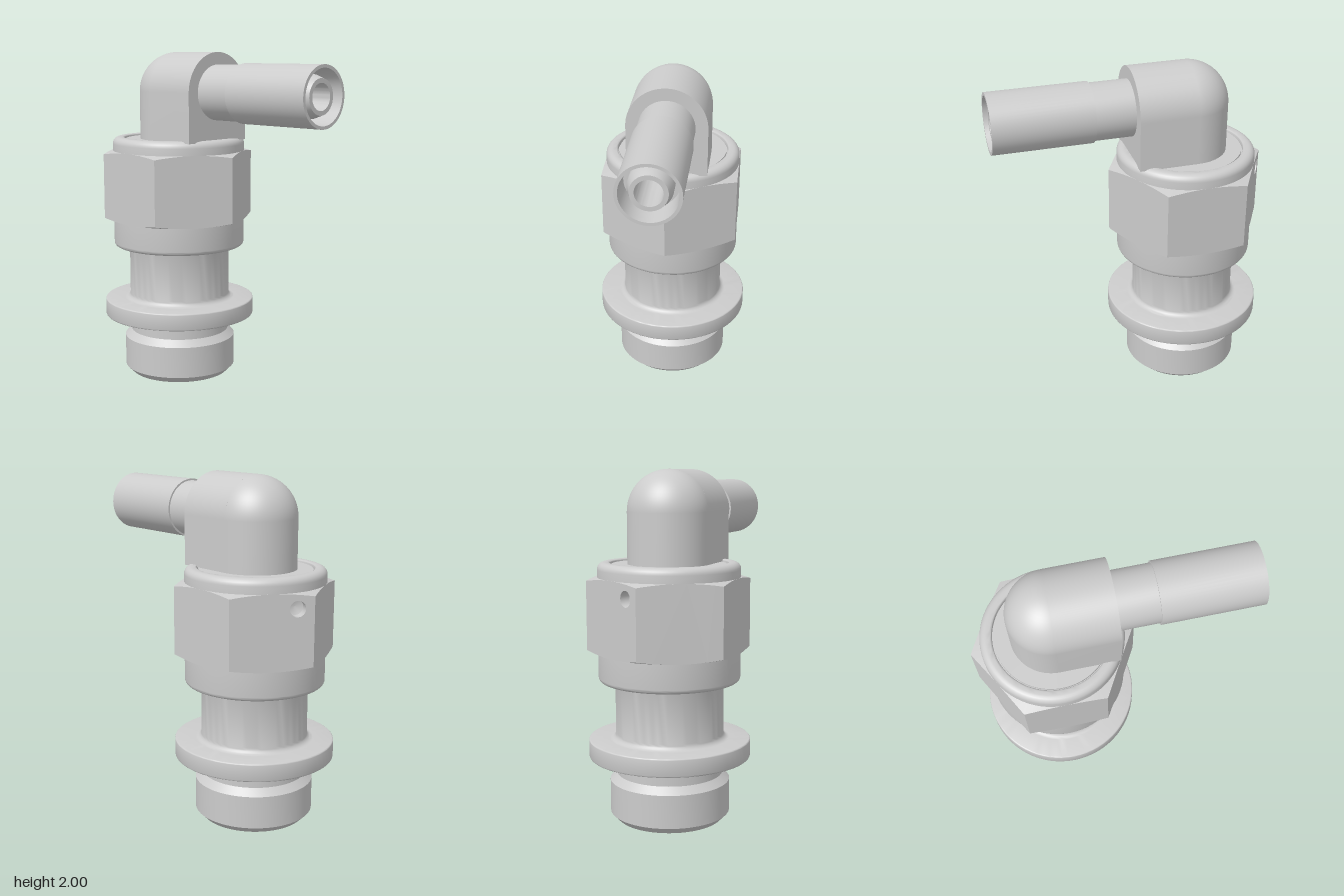
import * as THREE from 'three';
import { toCreasedNormals } from 'three/addons/utils/BufferGeometryUtils.js';

const AXIS = -0.345;   // x of the vertical axis
const ARM_Y = 1.765;   // height of the horizontal axis
const ELBOW_R = 0.235;
const FLAT = 0.405;    // hexagon centre to flat
const HALF = 0.215;    // half height of the hexagon

export function createModel() {
  const model = new THREE.Group();
  const material = new THREE.MeshStandardMaterial({ color: 0xcccccc });

  const add = (name, geometry, parent = model) => {
    const mesh = new THREE.Mesh(geometry, material);
    mesh.name = name;
    parent.add(mesh);
    return mesh;
  };
  const lathe = (points, segments = 72) => toCreasedNormals(
    new THREE.LatheGeometry(points.map(([r, y]) => new THREE.Vector2(r, y)), segments), 0.6);
  // quarter-round profile points about (cx, cy), angles in degrees
  const arc = (cx, cy, r, from, to, n = 6) => Array.from({ length: n + 1 }, (_, i) => {
    const a = THREE.MathUtils.degToRad(from + (to - from) * i / n);
    return [cx + r * Math.cos(a), cy + r * Math.sin(a)];
  });

  // Hollow lower body with flange
  add('body', lathe([
    [0, 1.3], [0.258, 1.3], [0.258, 0], [0.305, 0],
    [0.345, 0.04], [0.345, 0.23], [0.305, 0.27], [0.305, 0.37],
    ...arc(0.457, 0.378, 0.008, -90, 0, 3), ...arc(0.457, 0.467, 0.008, 0, 90, 3),
    ...arc(0.345, 0.51, 0.035, 270, 180),
    ...arc(0.33, 0.79, 0.02, 180, 90), [0.33, 0.85],
  ])).position.x = AXIS;

  // Round collars of the nut, slimmer inside the hexagon
  add('nutCollar', lathe([
    [0.3, 0.81], ...arc(0.38, 0.835, 0.025, -90, 0), [FLAT, 0.985],
    [0.32, 0.985], [0.32, 1.395], [FLAT, 1.395],
    ...arc(0.365, 1.447, 0.04, 0, 90), ...arc(0.345, 1.475, 0.012, 90, 180, 4),
    [0.333, 1.46], [0.325, 1.46], [0.325, 1.475], [0, 1.475],
  ])).position.x = AXIS;

  // Hexagon: six flats with curved ends, one with a small blind hole
  const hexagon = new THREE.Group();
  hexagon.name = 'hexagon';
  hexagon.position.set(AXIS, 1.19, 0);
  model.add(hexagon);
  const endHeight = (r) => HALF - (r - FLAT) * 0.3;
  const HOLE = { u: 0.14, y: 0.13, r: 0.045 };

  for (let k = 0; k < 6; k++) {
    const edge = [];
    for (let deg = -30; deg <= 30; deg += 5) {
      const a = THREE.MathUtils.degToRad(deg);
      edge.push(new THREE.Vector2(FLAT * Math.tan(a), endHeight(FLAT / Math.cos(a))));
    }
    const lower = edge.map((p) => new THREE.Vector2(p.x, -p.y));
    const shape = new THREE.Shape([...lower, ...edge.reverse()]);
    const side = new THREE.Group();
    side.name = 'hexagonSide';
    side.rotation.y = k * Math.PI / 3;
    hexagon.add(side);
    if (k === 4) {
      shape.holes.push(new THREE.Path().absarc(HOLE.u, HOLE.y, HOLE.r, 0, Math.PI * 2, true));
      const pit = add('blindHole', lathe([[HOLE.r, 0], [HOLE.r, -0.06], [0, -0.075]], 24), side);
      pit.rotation.x = Math.PI / 2;
      pit.position.set(HOLE.u, HOLE.y, FLAT);
    }
    add('hexagonFlat', new THREE.ShapeGeometry(shape, 12), side).position.z = FLAT;
  }

  // Conical chamfers closing the hexagon above and below
  for (const flip of [0, Math.PI]) {
    const ring = new THREE.CylinderGeometry(1, 1, 2, 72, 1, true);
    const pos = ring.attributes.position;
    for (let i = 0; i < pos.count; i++) {
      const angle = Math.atan2(pos.getX(i), pos.getZ(i));
      const off = angle - Math.round(angle / (Math.PI / 3)) * Math.PI / 3;
      const inner = pos.getY(i) > 0;
      const r = inner ? 0.4 : FLAT / Math.cos(off);
      pos.setXYZ(i, r * Math.sin(angle), inner ? HALF : endHeight(r), r * Math.cos(angle));
    }
    add('hexagonChamfer', toCreasedNormals(ring, 0.6), hexagon).rotation.x = flip;
  }

  // Elbow: arched block, round back and quarter-sphere corner
  const elbow = new THREE.Group();
  elbow.name = 'elbow';
  elbow.position.set(AXIS, ARM_Y, 0);
  model.add(elbow);
  const foot = 1.475 - ARM_Y;
  const arch = new THREE.Shape();
  arch.moveTo(-ELBOW_R, foot);
  arch.lineTo(ELBOW_R, foot);
  arch.lineTo(ELBOW_R, 0);
  arch.absarc(0, 0, ELBOW_R, 0, Math.PI, false);
  arch.lineTo(-ELBOW_R, foot);
  arch.holes.push(new THREE.Path().absarc(0, 0, 0.12, 0, Math.PI * 2, true));
  const block = new THREE.ExtrudeGeometry(arch, { depth: -AXIS, bevelEnabled: false, curveSegments: 32 });
  add('elbowBlock', toCreasedNormals(block, 0.6), elbow).rotation.y = Math.PI / 2;
  add('elbowBack', new THREE.CylinderGeometry(ELBOW_R, ELBOW_R, -foot, 32, 1, true, Math.PI, Math.PI), elbow)
    .position.y = foot / 2;
  add('elbowCorner', new THREE.SphereGeometry(ELBOW_R, 32, 16, -Math.PI / 2, Math.PI, 0, Math.PI / 2), elbow);

  // Hose sleeve with a recessed inner spigot and through bore
  const arm = add('hoseSleeve', lathe([
    [0.163, 0], [0.163, 0.228], [0.173, 0.228], [0.173, 0.8],
    [0.155, 0.8], [0.148, 0.64], [0.12, 0.64], [0.12, 0.72],
    [0.1, 0.78], [0.075, 0.78], [0.075, -0.25], [0.05, -0.3], [0, -0.32],
  ], 56));
  arm.rotation.z = -Math.PI / 2;
  arm.position.y = ARM_Y;

  return model;
}
